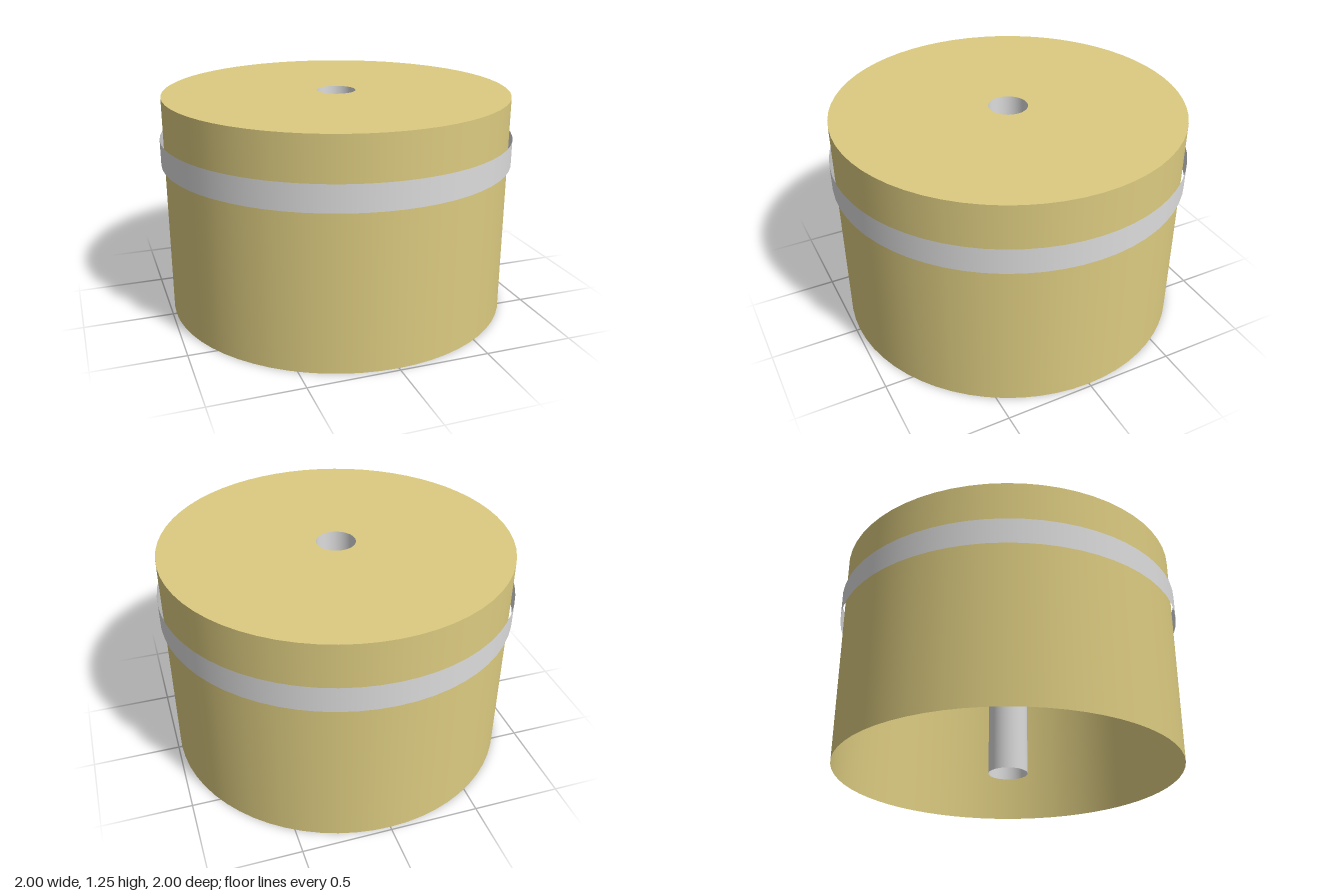
import * as THREE from 'three';

const HEIGHT = 1.25, BODY_R = 0.98, BAND_R = 1, TUBE_R = 0.11;

export function createModel() {
  const group = new THREE.Group();
  const brass = new THREE.MeshStandardMaterial({ name: 'paleBrass', color: 0xdccb80, side: THREE.DoubleSide });
  const silver = new THREE.MeshStandardMaterial({ name: 'silver', color: 0xdcdcdc, side: THREE.DoubleSide });

  const add = (name, geometry, material, y) => {
    const mesh = new THREE.Mesh(geometry, material);
    mesh.name = name;
    mesh.position.y = y;
    group.add(mesh);
    return mesh;
  };
  // Thin open cylinder between two heights
  const sleeve = (name, radius, y0, y1, material, sides) =>
    add(name, new THREE.CylinderGeometry(radius, radius, y1 - y0, sides, 1, true), material, (y0 + y1) / 2);

  // Shell, open at the bottom
  sleeve('outerWall', BODY_R, 0, HEIGHT, brass, 64);

  // Top plate with a centre hole
  const plate = new THREE.RingGeometry(TUBE_R, BODY_R, 64);
  plate.rotateX(-Math.PI / 2);
  add('topPlate', plate, brass, HEIGHT);

  // Centre tube, open at both ends
  sleeve('centreTube', TUBE_R, 0, HEIGHT, silver, 64);

  // Band standing slightly off the wall
  sleeve('band', BAND_R, 0.87, 1.015, silver, 64);

  return group;
}
